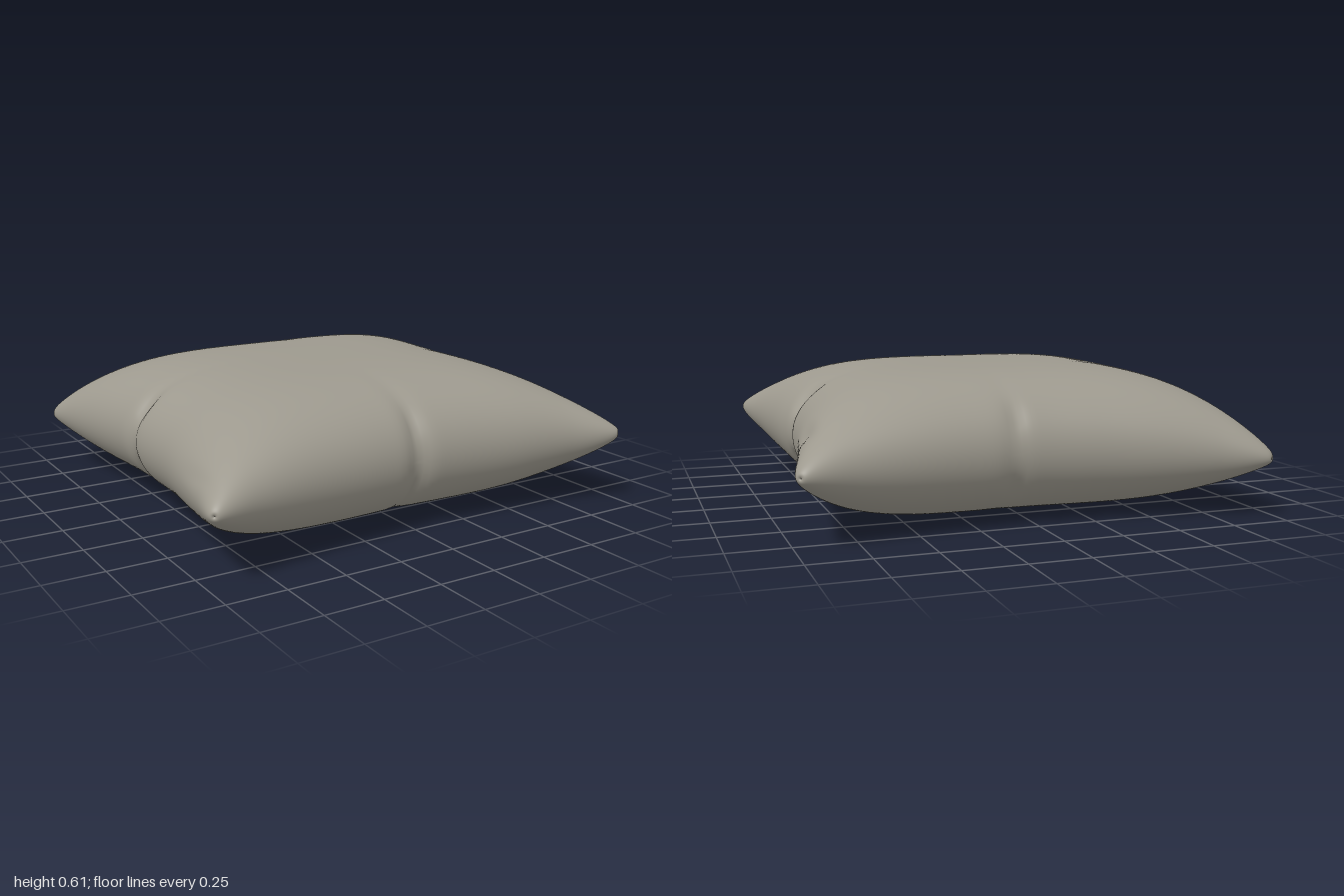
import * as THREE from 'three';
import { mergeGeometries, mergeVertices } from 'three/addons/utils/BufferGeometryUtils.js';

const N = 120;          // grid cells per side of each sheet
const HALF = 0.306;     // half thickness at the centre

// Corners [x, y, z] of the seam
const BL = [-0.98, 0.25, -0.965], BR = [1.01, 0.285, -0.905];
const FL = [-1.01, 0.29, 0.92], FR = [0.965, 0.325, 0.965];

// How far an edge curves inward along its length, with a pinched notch
function edge(insets, notchAt, notchDepth) {
  const all = [0, ...insets, 0];
  const curve = new THREE.SplineCurve(all.map((d, i) => new THREE.Vector2(i / 8, d)));
  return t => curve.getPoint(t).y + notchDepth * Math.exp(-(((t - notchAt) / 0.025) ** 2));
}
const front = edge([0.046, 0.083, 0.109, 0.13, 0.124, 0.1, 0.068], 0.5, 0.025);
const back = edge([0.052, 0.09, 0.122, 0.136, 0.115, 0.082, 0.044], 0.55, 0.01);
const left = edge([0.044, 0.084, 0.113, 0.122, 0.102, 0.086, 0.055], 0.5, 0.008);
const right = edge([0.03, 0.062, 0.09, 0.095, 0.097, 0.072, 0.04], 0.46, 0.018);

// Fabric dents: x, z, radius x, radius z, depth, sheet (1 top, -1 bottom, 0 both)
const dents = [
  [0.79, 0.05, 0.06, 0.05, 0.045, 1],
  [0.8, 0.08, 0.06, 0.04, 0.04, -1],
  [-0.83, -0.08, 0.06, 0.035, 0.035, 0],
  [0.91, -0.55, 0.03, 0.12, 0.03, 1],
  [-0.95, 0.6, 0.02, 0.15, 0.02, 1],
  [-0.02, 0.75, 0.02, 0.06, 0.015, 0],
  [0.1, -0.75, 0.03, 0.06, 0.015, 0],
];

const lerp = THREE.MathUtils.lerp;
const bulge = s => Math.sqrt(Math.max(0, 1 - Math.abs(s) ** 3.7));

// Point on the top (side = 1) or bottom (side = -1) sheet; u, v run -1..1
function pillowPoint(u, v, side) {
  const s = (1 + u) / 2, t = (1 + v) / 2;
  const [x0, y0, z0] = [0, 1, 2].map(k => lerp(lerp(BL[k], BR[k], s), lerp(FL[k], FR[k], s), t));
  let x = x0 - left(t) * s ** 3 + right(t) * (1 - s) ** 3;
  let z = z0 - front(s) * t ** 3 + back(s) * (1 - t) ** 3;
  // Blunt the corner tips
  const tip = 0.03 * Math.abs(u * v) ** 40;
  x -= tip * Math.sign(u);
  z -= tip * Math.sign(v);
  const thickness = bulge(u) * bulge(v);
  let h = HALF * thickness;
  for (const [dx, dz, rx, rz, depth, which] of dents) {
    if (which && which !== side) continue;
    h -= depth * Math.min(1, thickness * 2.5) * Math.exp(-(((x - dx) / rx) ** 2) - ((z - dz) / rz) ** 2);
  }
  const y = lerp(HALF, y0, u * u * v * v);
  return [x, y + side * Math.max(0, h), z];
}

function sheet(side) {
  const geo = new THREE.PlaneGeometry(2, 2, N, N);
  geo.deleteAttribute('uv');
  geo.deleteAttribute('normal');
  const pos = geo.attributes.position;
  for (let i = 0; i < pos.count; i++) {
    // Closer rows near the seam keep the rim round
    const u = Math.sin(pos.getX(i) * Math.PI / 2);
    const v = -Math.sin(pos.getY(i) * Math.PI / 2);
    pos.setXYZ(i, ...pillowPoint(u, v, side));
  }
  // Turn the bottom faces downward
  if (side < 0) geo.index.array.reverse();
  return geo;
}

export function createModel() {
  const fabric = new THREE.MeshStandardMaterial({ color: 0x9d998e });
  fabric.name = 'taupe fabric';

  // Both sheets are welded along the seam for smooth shading
  const geo = mergeVertices(mergeGeometries([sheet(1), sheet(-1)]), 1e-5);
  geo.computeVertexNormals();
  const cushion = new THREE.Mesh(geo, fabric);
  cushion.name = 'cushion';

  const model = new THREE.Group();
  model.name = 'pillow';
  model.add(cushion);
  return model;
}
